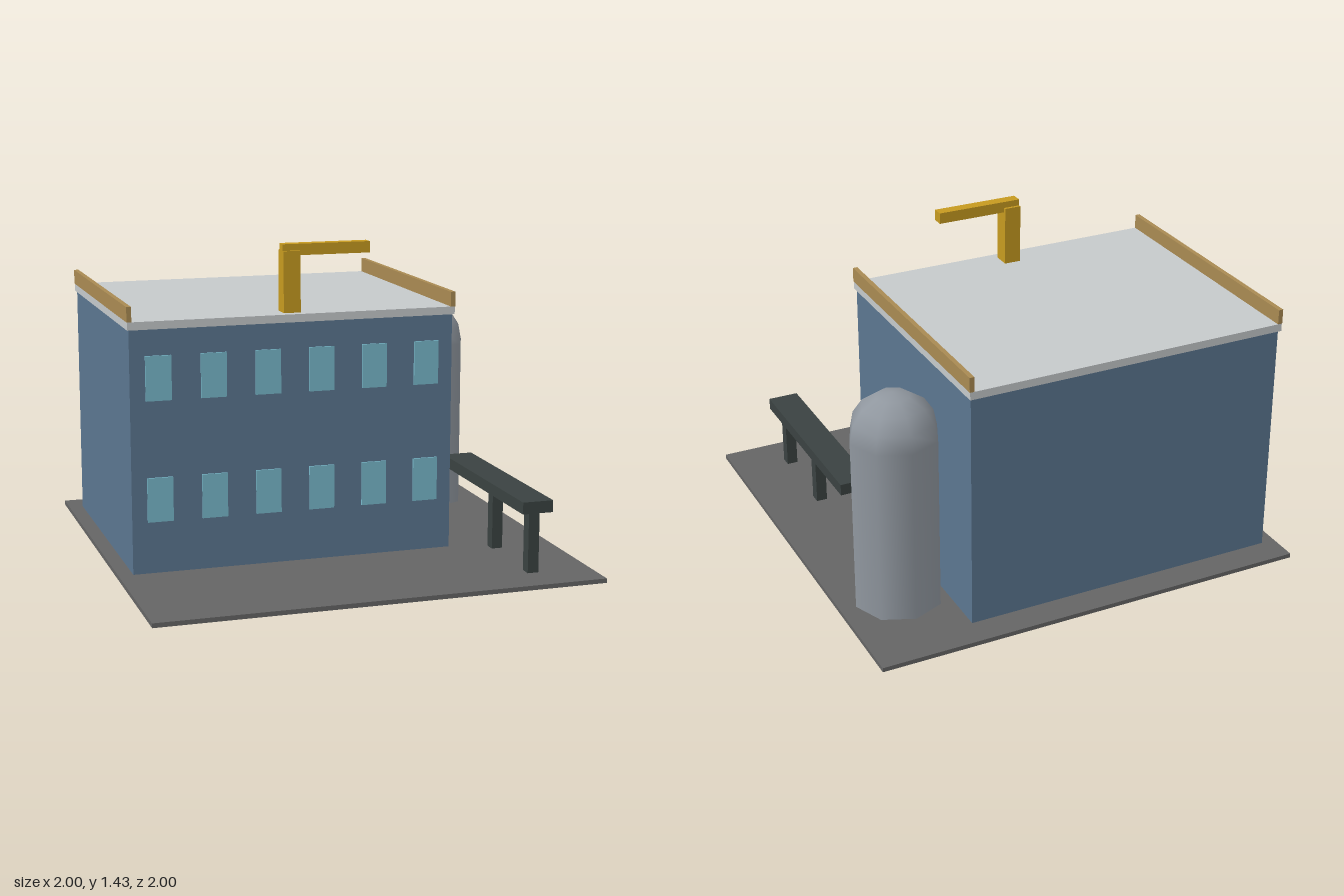
import * as THREE from 'three';

const paint = (name, color) => {
  const m = new THREE.MeshStandardMaterial({ color });
  m.name = name;
  return m;
};

export function createModel() {
  const model = new THREE.Group();
  model.name = 'factory';

  const asphalt = paint('asphalt grey', 0x656565);
  const wall = paint('wall blue', 0x5b7690);
  const roofing = paint('roof pale grey', 0xc5c9cb);
  const tan = paint('parapet tan', 0xa98a52);
  const glass = paint('window cyan', 0x78b9cb);
  const gold = paint('crane gold', 0xc69a20);
  const steel = paint('silo steel', 0x90979f);
  const dark = paint('conveyor dark', 0x3a4241);

  const add = (name, geometry, material, x, y, z) => {
    const mesh = new THREE.Mesh(geometry, material);
    mesh.name = name;
    mesh.position.set(x, y, z);
    model.add(mesh);
    return mesh;
  };
  // Box given by its limits on each axis
  const box = (name, material, [x0, x1], [y0, y1], [z0, z1]) =>
    add(name, new THREE.BoxGeometry(x1 - x0, y1 - y0, z1 - z0), material,
      (x0 + x1) / 2, (y0 + y1) / 2, (z0 + z1) / 2);

  // Ground slab and building
  box('ground', asphalt, [-1, 1], [0, 0.02], [-1, 1]);
  box('building', wall, [-0.935, 0.531], [0.02, 1.095], [-0.867, 0.335]);
  box('roof', roofing, [-0.943, 0.539], [1.095, 1.13], [-0.88, 0.347]);

  // Parapets along both sides of the roof
  box('rightParapet', tan, [-0.945, -0.924], [1.13, 1.196], [-0.88, 0.347]);
  box('leftParapet', tan, [0.52, 0.541], [1.13, 1.196], [-0.88, 0.347]);

  // Two rows of front windows
  for (const y of [0.348, 0.882]) {
    for (let i = 0; i < 6; i++) {
      const x = -0.81 + i * 0.2437;
      box('window', glass, [x - 0.057, x + 0.057], [y - 0.098, y + 0.098], [0.335, 0.343]);
    }
  }

  // Roof crane
  box('cranePost', gold, [-0.242, -0.165], [1.13, 1.4], [0.228, 0.306]);
  box('craneArm', gold, [-0.242, 0.156], [1.379, 1.429], [0.241, 0.293]);

  // Eight-sided silo with a domed top
  const r = 0.198, sx = 0.73, sz = -0.535;
  add('siloBody', new THREE.CylinderGeometry(r, r, 0.8, 8), steel, sx, 0.42, sz);
  add('siloDome', new THREE.SphereGeometry(r, 8, 4, 0, Math.PI * 2, 0, Math.PI / 2), steel, sx, 0.82, sz);

  // Conveyor on two legs
  box('conveyor', dark, [0.66, 0.8], [0.297, 0.35], [-0.068, 0.865]);
  for (const z of [0.403, 0.802]) {
    box('conveyorLeg', dark, [0.705, 0.755], [0.02, 0.287], [z - 0.026, z + 0.026]);
  }

  return model;
}
